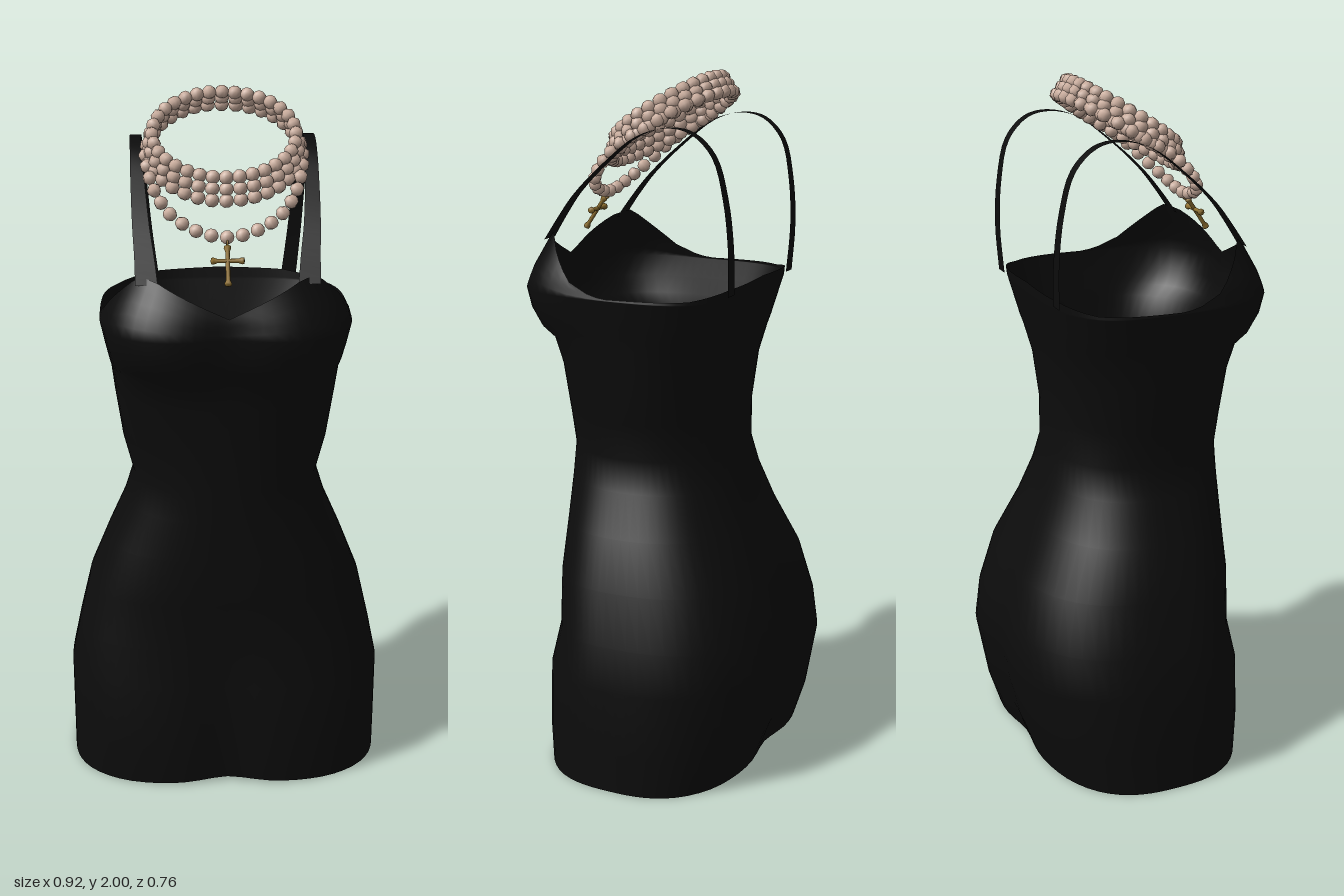
import * as THREE from 'three';
import { mergeGeometries } from 'three/addons/utils/BufferGeometryUtils.js';

const fabric = new THREE.MeshStandardMaterial({ color: 0x0c0c0c, side: THREE.DoubleSide });
fabric.name = 'black fabric';
const pearl = new THREE.MeshStandardMaterial({ color: 0xcdb0a0 });
pearl.name = 'pink pearl';
const gold = new THREE.MeshStandardMaterial({ color: 0x8f7030 });
gold.name = 'dark gold';

// Dress sections: y, half width, front z, back z, squareness, front dip, back dip
const SECTIONS = [
  [0.00, 0.46, 0.305, -0.31, 2.7, 0.03, 0.02],
  [0.12, 0.46, 0.31, -0.35, 2.7, 0.03, 0.02],
  [0.31, 0.46, 0.30, -0.387, 2.7, 0.02, 0.015],
  [0.43, 0.435, 0.275, -0.38, 2.6, 0.01, 0.015],
  [0.58, 0.40, 0.288, -0.34, 2.5, 0, 0.01],
  [0.72, 0.345, 0.288, -0.268, 2.4, 0, 0.005],
  [0.84, 0.293, 0.29, -0.225, 2.3, 0, 0],
  [0.93, 0.265, 0.292, -0.205, 2.2, 0, 0],
  [1.04, 0.293, 0.295, -0.195, 2.3, 0, 0],
  [1.18, 0.313, 0.305, -0.207, 2.5, 0, 0],
  [1.26, 0.322, 0.322, -0.225, 2.8, 0.01, 0],
  [1.29, 0.328, 0.36, -0.232, 3.0, 0.02, 0],
  [1.34, 0.338, 0.384, -0.243, 3.2, 0.028, 0],
  [1.40, 0.35, 0.39, -0.257, 3.4, 0.03, 0],
  [1.45, 0.335, 0.372, -0.265, 3.5, 0.02, 0],
  [1.55, 0.28, 0.32, -0.27, 3.6, 0, 0],
];

// Height of the upper edge by angle in degrees, from the front centre to the back
const EDGE = [[0, 1.455], [36, 1.545], [46, 1.555], [58, 1.5], [70, 1.44],
  [82, 1.41], [90, 1.405], [130, 1.41], [150, 1.43], [180, 1.437]];

function sample(table, key) {
  let i = 1;
  while (i < table.length - 1 && table[i][0] < key) i++;
  const a = table[i - 1], b = table[i];
  const t = THREE.MathUtils.clamp((key - a[0]) / (b[0] - a[0]), 0, 1);
  return a.map((v, k) => v + (b[k] - v) * t);
}

function dressPoint(angle, y) {
  const [, w, front, back, n, dipF, dipB] = sample(SECTIONS, y);
  const s = Math.sin(angle), c = Math.cos(angle);
  const r = 1 / Math.pow(Math.abs(s) ** n + Math.abs(c) ** n, 1 / n);
  const mid = 0.05 * Math.min(1, y / 0.9);
  const x = w * s * r;
  const dent = Math.exp(-((x / 0.1) ** 2));
  const z = c > 0 ? mid + (front - mid) * c * r - dipF * dent
    : mid + (mid - back) * c * r + dipB * dent;
  // the hem lifts slightly at the centre
  const lift = y === 0 ? 0.012 * Math.max(0, 1 - Math.abs(x) / 0.3) : 0;
  return [x, y + lift, z];
}

// Joins rows of points into a surface
function surface(rows, closed) {
  const cols = rows[0].length, index = [];
  for (let i = 0; i < rows.length - 1; i++) {
    for (let j = 0; j < (closed ? cols : cols - 1); j++) {
      const k = (j + 1) % cols;
      const a = i * cols + j, b = i * cols + k, c = a + cols, d = b + cols;
      index.push(a, b, c, b, d, c);
    }
  }
  const g = new THREE.BufferGeometry();
  g.setAttribute('position', new THREE.Float32BufferAttribute(rows.flat(2), 3));
  g.setIndex(index);
  g.computeVertexNormals();
  return g;
}

function mesh(name, geometry, material) {
  const m = new THREE.Mesh(geometry, material);
  m.name = name;
  return m;
}

function makeDress() {
  const columns = 72, rows = [];
  const angles = Array.from({ length: columns }, (_, j) => (j / columns) * Math.PI * 2);
  for (const [y] of SECTIONS) if (y <= 1.4) rows.push(angles.map((a) => dressPoint(a, y)));
  // bodice rises from the bust line to the shaped edge
  for (let t = 1; t <= 5; t++) {
    rows.push(angles.map((a) => {
      const deg = THREE.MathUtils.radToDeg(a);
      const top = sample(EDGE, deg > 180 ? 360 - deg : deg)[1];
      return dressPoint(a, 1.4 + (top - 1.4) * (t / 5));
    }));
  }
  return surface(rows, true);
}

// Flat ribbon over the shoulder: x, y, z of its middle line
function makeStrap(side) {
  const line = new THREE.CatmullRomCurve3([
    [0.217, 1.535, 0.295], [0.222, 1.6, 0.25], [0.23, 1.67, 0.195], [0.237, 1.76, 0.1],
    [0.242, 1.835, 0], [0.243, 1.86, -0.09], [0.242, 1.848, -0.16], [0.238, 1.79, -0.22],
    [0.23, 1.68, -0.25], [0.22, 1.55, -0.262], [0.205, 1.415, -0.258],
  ].map(([x, y, z]) => new THREE.Vector3(x * side, y, z)));
  const rows = line.getPoints(40).map((p, i) => {
    const t = i / 40;
    const half = 0.016 + 0.014 * Math.max(0, 1 - t / 0.4) + 0.006 * Math.max(0, (t - 0.7) / 0.3);
    return [[p.x - half, p.y, p.z], [p.x + half, p.y, p.z]];
  });
  return surface(rows, false);
}

// Beads evenly spaced along a closed curve
function makeStrand(curve, count, radius) {
  const up = new THREE.Vector3(0, 1, 0), beads = [];
  for (let i = 0; i < count; i++) {
    const bead = new THREE.SphereGeometry(radius, 7, 5);
    const turn = new THREE.Quaternion().setFromUnitVectors(up, curve.getTangentAt(i / count));
    bead.applyQuaternion(turn);
    bead.translate(...curve.getPointAt(i / count).toArray());
    beads.push(bead);
  }
  return mergeGeometries(beads);
}

// Tilted oval ring given by its front and back points
function ring(halfWidth, frontY, frontZ, backY, backZ) {
  const points = [];
  for (let i = 0; i < 24; i++) {
    const a = (i / 24) * Math.PI * 2, t = (1 + Math.cos(a)) / 2;
    points.push(new THREE.Vector3(halfWidth * Math.sin(a),
      backY + (frontY - backY) * t, backZ + (frontZ - backZ) * t));
  }
  return new THREE.CatmullRomCurve3(points, true);
}

function makeCross() {
  const cross = new THREE.Group();
  cross.name = 'crossPendant';
  const bar = (name, length) => {
    const h = length / 2;
    const profile = [[0, -h], [0.009, -h + 0.002], [0.01, -h + 0.008], [0.006, -h + 0.018],
      [0.006, h - 0.018], [0.01, h - 0.008], [0.009, h - 0.002], [0, h]];
    return mesh(name, new THREE.LatheGeometry(profile.map((p) => new THREE.Vector2(...p)), 8), gold);
  };
  const upright = bar('crossUpright', 0.115);
  const arms = bar('crossArms', 0.092);
  arms.rotation.z = Math.PI / 2;
  arms.position.y = 0.014;
  const loop = mesh('pendantLoop', new THREE.TorusGeometry(0.009, 0.003, 6, 12), gold);
  loop.position.y = 0.064;
  loop.rotation.y = Math.PI / 2;
  cross.add(upright, arms, loop);
  cross.position.set(0, 1.579, 0.266);
  cross.rotation.x = -0.6;
  return cross;
}

export function createModel() {
  const model = new THREE.Group();
  model.name = 'dressWithNecklace';
  model.add(mesh('dress', makeDress(), fabric));
  model.add(mesh('leftStrap', makeStrap(1), fabric), mesh('rightStrap', makeStrap(-1), fabric));

  // Three stacked rings of beads and one longer strand
  const necklace = new THREE.Group();
  necklace.name = 'necklace';
  [[0.197, 1.795, 0.165, 1.978, -0.115], [0.205, 1.765, 0.172, 1.96, -0.128],
    [0.208, 1.735, 0.178, 1.94, -0.138]].forEach((r, i) =>
    necklace.add(mesh('beadRing' + (i + 1), makeStrand(ring(...r), 32, 0.02), pearl)));
  const half = [[0.09, 1.665, 0.21], [0.15, 1.7, 0.185], [0.19, 1.75, 0.14], [0.212, 1.81, 0.07],
    [0.212, 1.85, 0], [0.18, 1.9, -0.075], [0.1, 1.93, -0.125]];
  const mirrored = half.map(([x, y, z]) => [-x, y, z]).reverse();
  const longPath = [[0, 1.645, 0.218], ...half, [0, 1.938, -0.14], ...mirrored];
  const longCurve = new THREE.CatmullRomCurve3(longPath.map((p) => new THREE.Vector3(...p)), true);
  necklace.add(mesh('longStrand', makeStrand(longCurve, 34, 0.0195), pearl), makeCross());
  model.add(necklace);
  return model;
}
